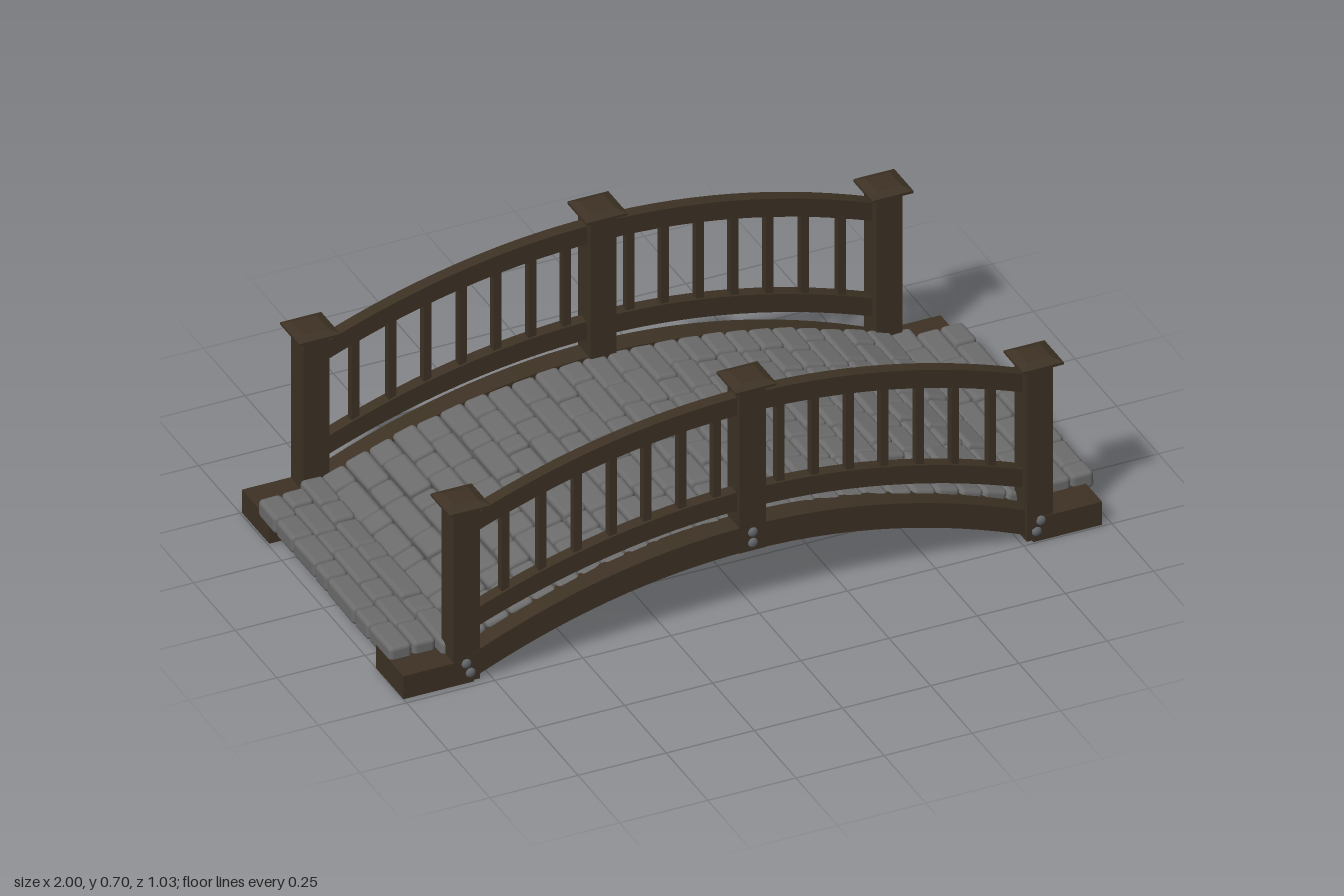
import * as THREE from 'three';
import { mergeGeometries } from 'three/addons/utils/BufferGeometryUtils.js';
import { RoundedBoxGeometry } from 'three/addons/geometries/RoundedBoxGeometry.js';

const wood = new THREE.MeshStandardMaterial({ color: 0x3d3224 });
wood.name = 'darkWood';
const stone = new THREE.MeshStandardMaterial({ color: 0x6c6c6c });
stone.name = 'greyStone';
const iron = new THREE.MeshStandardMaterial({ color: 0x64676b });
iron.name = 'ironBolt';

// Small seeded random number source
let seed = 7;
function rand(a, b) {
  seed = (seed * 16807) % 2147483647;
  return a + (b - a) * (seed / 2147483647);
}

function add(parent, name, geometry, material, x = 0, y = 0, z = 0) {
  const mesh = new THREE.Mesh(geometry, material);
  mesh.name = name;
  mesh.position.set(x, y, z);
  parent.add(mesh);
  return mesh;
}

// Box given by its limits on each axis
function block(parent, name, x0, x1, y0, y1, z0, z1) {
  return add(parent, name, new THREE.BoxGeometry(x1 - x0, y1 - y0, z1 - z0), wood,
    (x0 + x1) / 2, (y0 + y1) / 2, (z0 + z1) / 2);
}

// Height of an arch at x: crown height less a parabolic drop
const arch = (x, crown, drop, half) => crown - drop * (x / half) ** 2;

// Curved timber with a constant height, extruded in z
function archBeam(parent, name, half, crown, drop, height, z0, z1) {
  const n = 28, lower = [], upper = [];
  for (let i = 0; i <= n; i++) {
    const x = -half + (2 * half * i) / n;
    const y = arch(x, crown, drop, half);
    lower.push(new THREE.Vector2(x, y));
    upper.unshift(new THREE.Vector2(x, y + height));
  }
  const shape = new THREE.Shape([...lower, ...upper]);
  const geometry = new THREE.ExtrudeGeometry(shape, { depth: z1 - z0, bevelEnabled: false });
  return add(parent, name, geometry, wood, 0, 0, z0);
}

// Square post with a thin, low pyramid cap
function post(parent, name, x, z, bottom, top) {
  const group = new THREE.Group();
  group.name = name;
  parent.add(group);
  const w = 0.037, c = 0.058;
  block(group, 'postShaft', x - w, x + w, bottom, top, z - w, z + w);
  block(group, 'postCap', x - c, x + c, top, top + 0.007, z - c, z + c);
  const peak = new THREE.CylinderGeometry(0.035 * Math.SQRT2, c * Math.SQRT2, 0.009, 4, 1).toNonIndexed();
  peak.computeVertexNormals();
  peak.rotateY(Math.PI / 4);
  add(group, 'capPeak', peak, wood, x, top + 0.0115, z);
}

// One side of the bridge: beam, footings, posts, rails, balusters and bolts
function side(name) {
  const group = new THREE.Group();
  group.name = name;
  archBeam(group, 'archBeam', 0.81, 0.185, 0.182, 0.075, 0.42, 0.484);
  block(group, 'leftFooting', -0.99, -0.79, 0, 0.07, 0.32, 0.484);
  block(group, 'rightFooting', 0.79, 0.985, 0, 0.07, 0.333, 0.497);
  block(group, 'beamBracket', -0.037, 0.037, 0.185, 0.225, 0.355, 0.43);

  post(group, 'leftPost', -0.81, 0.446, 0.004, 0.53);
  post(group, 'centrePost', 0, 0.448, 0.184, 0.682);
  post(group, 'rightPost', 0.81, 0.457, 0.004, 0.53);

  archBeam(group, 'lowerRail', 0.785, 0.305, 0.155, 0.055, 0.433, 0.469);
  archBeam(group, 'upperRail', 0.785, 0.595, 0.155, 0.055, 0.433, 0.469);

  for (const s of [-1, 1]) {
    for (const d of [0.09, 0.188, 0.287, 0.385, 0.485, 0.585, 0.69]) {
      const x = s * d;
      block(group, 'baluster', x - 0.011, x + 0.011,
        arch(x, 0.34, 0.155, 0.785), arch(x, 0.61, 0.155, 0.785), 0.44, 0.462);
    }
  }

  const bolt = new THREE.SphereGeometry(0.014, 10, 8);
  const spots = [[-0.812, 0.06, 0.485], [-0.8, 0.03, 0.485], [0, 0.24, 0.486],
    [0, 0.208, 0.486], [0.812, 0.06, 0.496], [0.8, 0.03, 0.496]];
  for (const [x, y, z] of spots) add(group, 'bolt', bolt, iron, x, y, z).scale.z = 0.6;
  return group;
}

// Cobbled deck: rows of rounded stones following the arch, flat at both ends
function deck() {
  const stones = [], rows = 30, pitch = 2 / rows;
  const topAt = x => Math.max(0.102, arch(x, 0.257, 0.16, 0.82));
  for (let i = 0; i < rows; i++) {
    const x = -1 + (i + 0.5) * pitch;
    const slope = Math.atan2(topAt(x + 0.02) - topAt(x - 0.02), 0.04);
    const half = Math.abs(x) > 0.85 ? 0.4 : 0.432;
    // Random stone lengths, scaled to fill the row
    const lengths = [];
    let total = 0;
    while (total < 2 * half - 0.05) {
      const l = lengths.length % 2 === i % 2 ? rand(0.11, 0.19) : rand(0.065, 0.11);
      lengths.push(l);
      total += l;
    }
    let z = -half;
    for (const l of lengths) {
      const d = (l * 2 * half) / total;
      const w = pitch / Math.cos(slope);
      const g = new RoundedBoxGeometry(w - 0.001, 0.054, d - 0.003, 2, 0.013);
      // Uneven, slightly tapered top
      const taper = rand(-0.05, 0.05), bump = rand(-0.06, 0.06);
      const p = g.attributes.position;
      for (let k = 0; k < p.count; k++) {
        const pz = p.getZ(k);
        p.setX(k, p.getX(k) * (1 + (taper * pz) / d));
        p.setY(k, p.getY(k) * (1 + (bump * pz) / d));
      }
      g.rotateX(rand(-0.03, 0.03));
      g.rotateZ(slope + rand(-0.04, 0.04));
      g.translate(x, topAt(x) - 0.027 + rand(-0.003, 0.004), z + d / 2);
      stones.push(g);
      z += d;
    }
  }
  return mergeGeometries(stones);
}

export function createModel() {
  seed = 7;
  const model = new THREE.Group();
  model.name = 'footbridge';
  add(model, 'cobbledDeck', deck(), stone);

  // The back side is the front side turned half a turn
  const front = side('frontSide');
  const back = side('backSide');
  back.rotation.y = Math.PI;
  for (const s of [front, back]) {
    s.position.set(-0.01, 0, -0.003);
    model.add(s);
  }
  return model;
}
